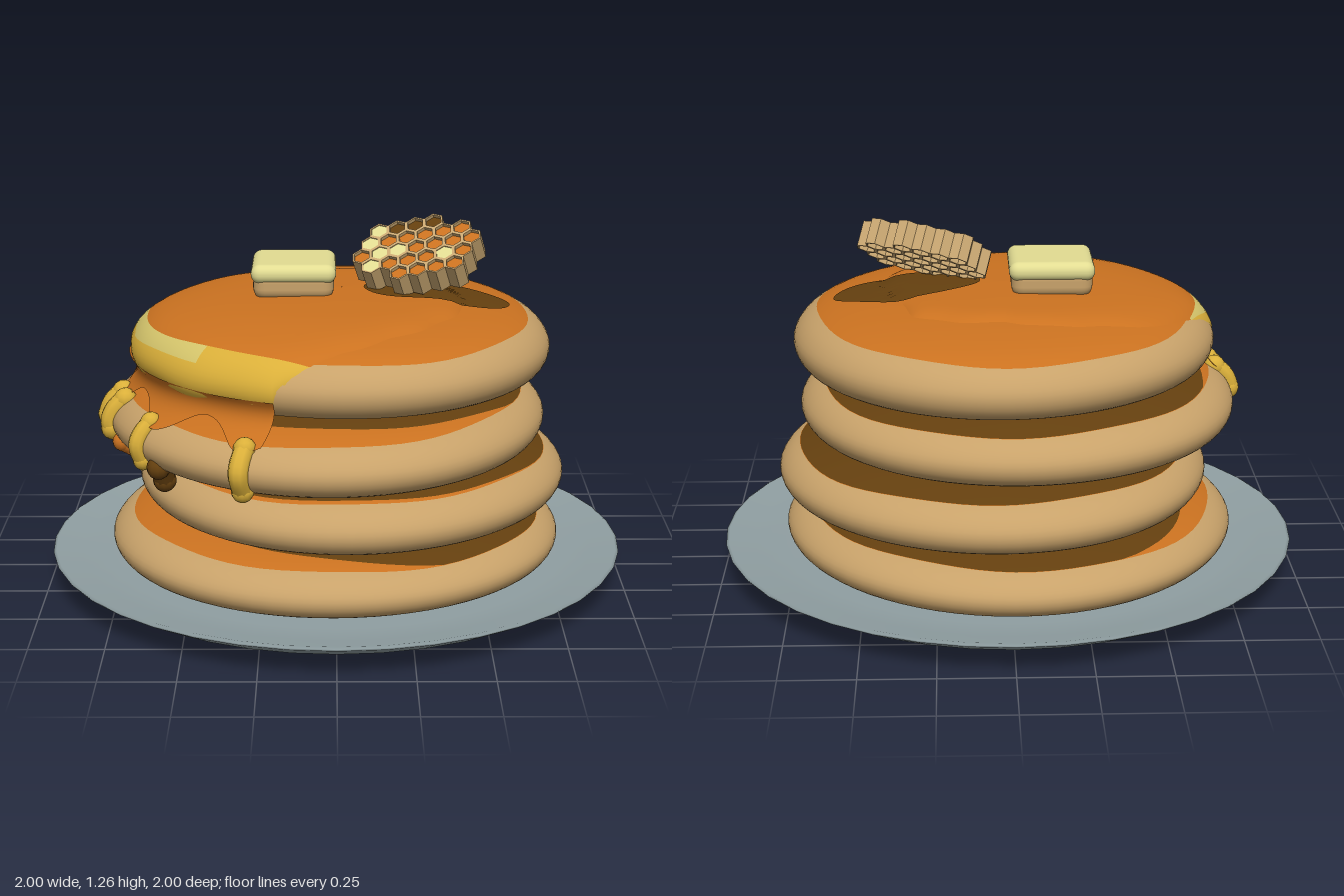
import * as THREE from 'three';
import { RoundedBoxGeometry } from 'three/addons/geometries/RoundedBoxGeometry.js';

const mat = (name, color, side = THREE.FrontSide) =>
  Object.assign(new THREE.MeshStandardMaterial({ color, side }), { name });

// Unit-radius pancake outline, from the top centre round the rim to the bottom centre
const outline = new THREE.SplineCurve([
  [0, 0.25], [0.5, 0.237], [0.78, 0.207], [0.92, 0.168], [0.99, 0.11], [0.99, 0.055],
  [0.94, 0.012], [0.85, 0], [0.5, 0], [0, 0],
].map(([x, y]) => new THREE.Vector2(x, y)));
outline.arcLengthDivisions = 600;

// ledge and ledgeAngle: width and direction of the glazed strip left uncovered by the next pancake
const PANCAKES = [
  { x: -0.005, z: -0.01, rx: 0.785, rz: 0.795, y: 0.09, h: 0.84, phase: 0.4, ledge: 0.08, ledgeAngle: 2.6 },
  { x: 0.05, z: -0.02, rx: 0.745, rz: 0.78, y: 0.302, h: 0.9, phase: 2.1, ledge: 0.012, ledgeAngle: 1.8 },
  { x: -0.03, z: 0.03, rx: 0.755, rz: 0.802, y: 0.522, h: 0.92, phase: 3.6, ledge: 0.07, ledgeAngle: 1.95 },
  { x: 0.02, z: -0.02, rx: 0.725, rz: 0.752, y: 0.75, h: 1, phase: 5.2 },
];

// Point on a pancake at angle a and outline position t, lifted by a thickness
function onPancake(p, a, t, lift = 0) {
  const q = outline.getPointAt(t);
  const n = outline.getTangentAt(t);
  const wobble = 1 + 0.008 * Math.sin(3 * a + p.phase);
  const r = q.x * wobble - n.y * lift;
  return new THREE.Vector3(
    p.x + p.rx * r * Math.cos(a),
    p.y + p.h * q.y + n.x * lift,
    p.z + p.rz * r * Math.sin(a));
}

// Closed-round grid surface; bandOf(a, v) picks a material group for each cell
function roundSurface(nu, nv, pointAt, bandOf, groups) {
  const positions = [];
  const buckets = Array.from({ length: groups }, () => []);
  for (let i = 0; i < nu; i++) {
    for (let j = 0; j <= nv; j++) positions.push(...pointAt((i / nu) * Math.PI * 2, j / nv).toArray());
  }
  for (let i = 0; i < nu; i++) {
    for (let j = 0; j < nv; j++) {
      const a = i * (nv + 1) + j, b = ((i + 1) % nu) * (nv + 1) + j;
      buckets[bandOf(((i + 0.5) / nu) * Math.PI * 2, (j + 0.5) / nv)]
        .push(a, b, b + 1, a, b + 1, a + 1);
    }
  }
  const g = new THREE.BufferGeometry();
  g.setAttribute('position', new THREE.Float32BufferAttribute(positions, 3));
  g.setIndex(buckets.flat());
  let start = 0;
  buckets.forEach((b, k) => { g.addGroup(start, b.length, k); start += b.length; });
  g.computeVertexNormals();
  return g;
}

// Maps v through [v, t] stops, so colour borders fall exactly on grid rows
function stops(v, list) {
  const k = Math.max(1, list.findIndex(([s]) => s >= v - 1e-9));
  const [v0, t0] = list[k - 1], [v1, t1] = list[k];
  return t0 + ((t1 - t0) * (v - v0)) / (v1 - v0);
}

// How far the syrup pool reaches along the outline, by angle
const REACH = [
  [0, 0.27], [0.28, 0.29], [0.88, 0.31], [1.28, 0.345], [1.57, 0.4], [1.79, 0.47], [1.95, 0.54],
  [2.3, 0.55], [2.7, 0.545], [3.1, 0.52], [3.29, 0.46], [3.5, 0.43], [3.82, 0.38], [4.06, 0.325],
  [4.71, 0.25], [5.5, 0.28], [5.87, 0.25], [6.2832, 0.27],
];
function reach(a) {
  const r = stops(a, REACH);
  return r + (r > 0.5 ? 0.012 : 0.003) * Math.sin(14 * a);
}
const poolLift = (a, t) => 0.022 * (1 - Math.min(1, t / reach(a)) ** 12) - 0.004;

export function createModel() {
  const model = new THREE.Group();
  const plateMat = mat('plateGrey', 0x909fa2);
  const rimMat = mat('batterTan', 0xc8a26a);
  const brownMat = mat('syrupBrown', 0xcb7220, THREE.DoubleSide);
  const darkMat = mat('crustDark', 0x65400f);
  const goldMat = mat('honeyGold', 0xdbb03a);
  const paleMat = mat('honeyPale', 0xd6c66c);
  const butterMat = mat('butterYellow', 0xe2dc92);
  const waxMat = mat('waxTan', 0xcaa872);

  const add = (name, geometry, material, parent = model) => {
    const mesh = new THREE.Mesh(geometry, material);
    mesh.name = name;
    parent.add(mesh);
    return mesh;
  };

  // Plate
  const plate = [[0, 0], [0.5, 0], [0.54, 0.012], [0.9, 0.048], [0.995, 0.1], [1, 0.108], [0.99, 0.113],
    [0.9, 0.095], [0.78, 0.085], [0, 0.085]].map(([x, y]) => new THREE.Vector2(x, y));
  add('plate', new THREE.LatheGeometry(plate, 40), plateMat);

  // Pancakes: dark crust where covered, glazed strip, pale rim, dark underside
  PANCAKES.forEach((p, k) => {
    const row = (a, v) => {
      const edge = 0.432 + 0.006 * Math.sin(2 * a + p.phase) + 0.003 * Math.sin(7 * a);
      const strip = p.ledge ? Math.max(0.001, p.ledge * Math.cos(a - p.ledgeAngle)) : 0.1;
      return stops(v, [[0, 0], [0.2, edge - strip], [0.35, edge], [0.75, 0.567], [1, 1]]);
    };
    const geometry = roundSurface(72, 40,
      (a, v) => onPancake(p, a, row(a, v)),
      (a, v) => (v < 0.2 ? 0 : v < 0.35 ? 1 : v < 0.75 ? 2 : 3), 4);
    add(`pancake${k + 1}`, geometry, [p.ledge ? darkMat : brownMat, brownMat, rimMat, darkMat]);
  });

  // Syrup pool spilling over the front left edge, with a golden band on the side
  const top = PANCAKES[3];
  const pool = roundSurface(120, 50,
    (a, v) => {
      const end = reach(a);
      const t = stops(v, [[0, 0], [0.3, end * 0.7], [0.6, Math.min(end, 0.437 + 0.006 * Math.sin(5 * a))],
        [0.84, Math.min(end, 0.522 + 0.006 * Math.sin(9 * a))], [1, end]]);
      return onPancake(top, a, t, poolLift(a, t));
    },
    (a, v) => {
      if (v < 0.6 || v > 0.84 || reach(a) < 0.44) return 0;
      return v < 0.7 && a > 2.3 ? 2 : 1;
    }, 3);
  add('syrupPool', pool, [brownMat, goldMat, paleMat]);

  // Darker syrup gathered around the foot of the honeycomb
  const span = outline.getLength();
  const puddle = roundSurface(40, 8, (b, v) => {
    const x = 0.35 + 0.255 * v * Math.cos(b) - top.x;
    const z = -0.01 + (0.15 + 0.02 * Math.sin(3 * b)) * v * Math.sin(b) - top.z;
    const a = (Math.atan2(z / top.rz, x / top.rx) + Math.PI * 2) % (Math.PI * 2);
    const t = Math.hypot(x / top.rx, z / top.rz) / span;
    return onPancake(top, a, t, Math.max(0, poolLift(a, t)) + 0.006);
  }, () => 0, 1);
  add('darkPuddle', puddle, [darkMat]);

  // Scalloped syrup curtain between the top pancake and the ledge below
  const drips = new THREE.Group();
  drips.name = 'drips';
  model.add(drips);
  const ledge = PANCAKES[2];
  const curtain = new THREE.PlaneGeometry(1, 1, 48, 10);
  const uv = curtain.attributes.uv;
  for (let i = 0; i < uv.count; i++) {
    const a = 3.12 - 1.24 * uv.getX(i);
    const fall = (1 - uv.getY(i)) * (0.5 + 0.5 * Math.cos((Math.PI * (a - 3.02)) / 0.53) ** 2);
    const curve = new THREE.QuadraticBezierCurve3(onPancake(top, a, 0.51, 0.012),
      onPancake(top, a, 0.56, 0.02), onPancake(ledge, a, 0.465, 0.014));
    curtain.attributes.position.setXYZ(i, ...curve.getPoint(fall).toArray());
  }
  curtain.computeVertexNormals();
  add('syrupCurtain', curtain, brownMat, drips);

  // Drips running down over the third pancake
  const strand = (name, points, radius, material) => {
    const path = new THREE.CatmullRomCurve3(points);
    add(name, new THREE.TubeGeometry(path, 14, radius, 10), material, drips);
    for (const end of [points[0], points[points.length - 1]]) {
      add(`${name}End`, new THREE.SphereGeometry(radius * 1.1, 12, 8), material, drips).position.copy(end);
    }
  };
  [[3.07, 0.505, 0.036], [2.94, 0.515, 0.036], [2.55, 0.53, 0.032], [1.95, 0.54, 0.034]].forEach(
    ([a, end, radius]) => strand('honeyDrip',
      [0.45, 0.48, 0.5, end].map((t) => onPancake(ledge, a, t, 0.002)), radius, goldMat));
  strand('lowDrip', [onPancake(ledge, 2.45, 0.54), new THREE.Vector3(-0.575, 0.53, 0.46),
    new THREE.Vector3(-0.57, 0.465, 0.42)], 0.036, darkMat);
  strand('sideDrip', [0.535, 0.55, 0.56].map((t) => onPancake(ledge, 2.85, t)), 0.03, brownMat);

  // Butter pat with a darker lower half
  const butter = new THREE.Group();
  butter.name = 'butter';
  butter.position.set(-0.145, 0, -0.035);
  model.add(butter);
  add('butterBase', new RoundedBoxGeometry(0.275, 0.1, 0.275, 3, 0.04), rimMat, butter).position.y = 1.045;
  add('butterTop', new RoundedBoxGeometry(0.29, 0.066, 0.29, 4, 0.032), butterMat, butter).position.y = 1.087;

  // Tilted honeycomb chunk of open hexagonal cells
  const comb = new THREE.Group();
  comb.name = 'honeycomb';
  const n = new THREE.Vector3(-0.25, 0.85, 0.5).normalize();
  const e1 = new THREE.Vector3(1, 0, 0).addScaledVector(n, -n.x).normalize();
  const e2 = new THREE.Vector3().crossVectors(n, e1);
  comb.quaternion.setFromRotationMatrix(new THREE.Matrix4().makeBasis(e1, e2, n));
  comb.position.set(0.285, 1.13, -0.015);
  model.add(comb);

  const pitch = 0.064, depth = 0.09;
  const hexagon = (r) => Array.from({ length: 6 }, (_, k) => new THREE.Vector2(
    r * Math.sin((k * Math.PI) / 3), r * Math.cos((k * Math.PI) / 3)));
  const wall = new THREE.Shape(hexagon(pitch / Math.sqrt(3)));
  wall.holes.push(new THREE.Path(hexagon(0.0305).reverse()));
  const cell = new THREE.ExtrudeGeometry(wall, { depth, bevelEnabled: false }).translate(0, 0, -depth / 2);
  const filling = new THREE.CylinderGeometry(0.031, 0.031, 0.05, 6).rotateX(Math.PI / 2);
  const tilt = 0.42;
  for (let j = -5; j <= 5; j++) {
    for (let i = -6; i <= 6; i++) {
      const x = (i + (j & 1) / 2) * pitch, y = j * pitch * 0.866;
      const u = x * Math.cos(tilt) - y * Math.sin(tilt), w = x * Math.sin(tilt) + y * Math.cos(tilt);
      if ((u / 0.215) ** 2 + (w / 0.15) ** 2 > 1) continue;
      add('combCell', cell, waxMat, comb).position.set(x, y, 0);
      const capped = x < -0.1 ? (i + j) % 2 === 0 : (((i * 5 + j * 3) % 7) + 7) % 7 === 2;
      const fill = capped ? butterMat : y > 0.1 ? darkMat : brownMat;
      add('combFilling', filling, [fill, fill, darkMat], comb).position.set(x, y, capped ? 0.017 : 0.008);
    }
  }
  return model;
}
